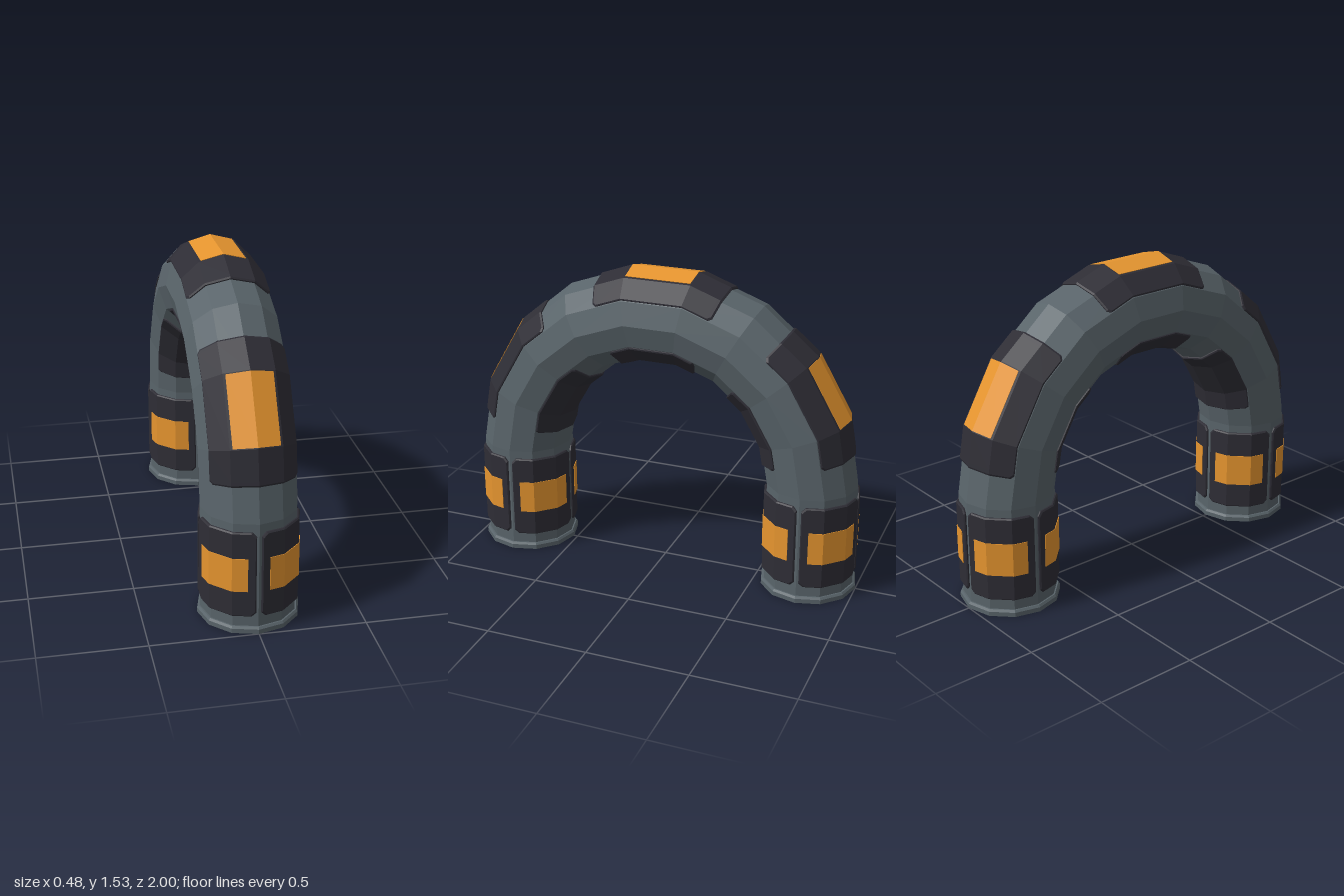
import * as THREE from 'three';

const CY = 0.546, R = 0.76, TUBE = 0.225; // arch centre height, arch radius, tube radius
const RAD = Math.PI / 180;

// Point on the faceted tube. v: degrees along the arch (0 = apex); past +-90 it runs
// down a leg at 0.01 per unit. phi: degrees around the tube (0 = outer side).
function point(v, phi, offset) {
  const d = phi - 30 * Math.floor(phi / 30) - 15;
  const r = (TUBE + offset) * Math.cos(15 * RAD) / Math.cos(d * RAD);
  const x = r * Math.sin(phi * RAD);
  const out = R + r * Math.cos(phi * RAD);
  if (Math.abs(v) >= 90) return [x, CY - (Math.abs(v) - 90) * 0.01, Math.sign(v) * out];
  const e = v - 20 * Math.round(v / 20);
  const s = out * Math.cos(10 * RAD) / Math.cos(e * RAD);
  return [x, CY + s * Math.cos(v * RAD), s * Math.sin(v * RAD)];
}

// Facet boundaries lying strictly between two values
function breaks(lo, hi, start, step, limit) {
  const list = [];
  for (let k = -limit; k <= limit; k++) {
    const b = start + k * step;
    if (b > lo + 0.01 && b < hi - 0.01) list.push(b);
  }
  return list;
}

function flatGeometry(positions) {
  const g = new THREE.BufferGeometry();
  g.setAttribute('position', new THREE.Float32BufferAttribute(positions, 3));
  g.computeVertexNormals();
  return g;
}

// Curved plate hugging the tube, with chamfered corners and a bevelled rim
function plate(v0, v1, p0, p1, { top, rim, vInset = 0, pInset = 0, vCorner = 0, pCorner = 0 }) {
  const layer = (k, offset) => {
    const a = v0 + vInset * k, b = v1 - vInset * k;
    const c = p0 + pInset * k, d = p1 - pInset * k;
    const vs = [a, ...(vCorner ? [a + vCorner] : []), ...breaks(v0 + vCorner, v1 - vCorner, 10, 20, 5)
      .filter((t) => Math.abs(t) <= 90), ...(vCorner ? [b - vCorner] : []), b];
    const mid = breaks(p0, p1, 0, 30, 13);
    return vs.map((v, i) => {
      const cut = i === 0 || i === vs.length - 1 ? pCorner : 0;
      return [c + cut, ...mid, d - cut].map((p) => point(v, p, offset));
    });
  };
  const pos = [];
  const quad = (a, b, c, d) => pos.push(...a, ...b, ...c, ...a, ...c, ...d);
  const face = layer(1, top);
  const n = face.length - 1, m = face[0].length - 1;
  for (let i = 0; i < n; i++)
    for (let j = 0; j < m; j++) quad(face[i][j], face[i + 1][j], face[i + 1][j + 1], face[i][j + 1]);
  if (rim !== undefined) {
    const edge = (g) => {
      const loop = [];
      for (let i = 0; i < n; i++) loop.push(g[i][0]);
      for (let j = 0; j < m; j++) loop.push(g[n][j]);
      for (let i = n; i > 0; i--) loop.push(g[i][m]);
      for (let j = m; j > 0; j--) loop.push(g[0][j]);
      return loop;
    };
    const loops = [edge(face), edge(layer(0, rim)), edge(layer(0, -0.01))];
    for (let k = 0; k < 2; k++)
      loops[k].forEach((a, i) => {
        const t = (i + 1) % loops[k].length;
        quad(loops[k + 1][i], loops[k + 1][t], loops[k][t], a);
      });
  }
  return flatGeometry(pos);
}

export function createModel() {
  const grey = new THREE.MeshStandardMaterial({ color: 0x59646a });
  const dark = new THREE.MeshStandardMaterial({ color: 0x2e2d35 });
  const amber = new THREE.MeshStandardMaterial({ color: 0xe6952f });
  grey.name = 'steel grey';
  dark.name = 'charcoal';
  amber.name = 'amber';

  const model = new THREE.Group();
  model.name = 'arch';
  const add = (name, geometry, material, parent = model) => {
    const mesh = new THREE.Mesh(geometry, material);
    mesh.name = name;
    parent.add(mesh);
    return mesh;
  };

  // Bent tube with two straight legs
  const foot = 90 + CY * 100;
  add('archTube', plate(-foot, foot, 0, 360, { top: 0 }), grey);

  const archPanel = { top: 0.011, rim: 0.006, vInset: 0.5, pInset: 1.5, vCorner: 1, pCorner: 4 };
  const legPanel = { top: 0.013, rim: 0.007, vInset: 0.6, pInset: 1.5, vCorner: 2, pCorner: 5 };
  const light = { rim: 0.008 };

  // Armour panels over the arch: outer ones carry a light, inner ones are plain
  for (const v of [-60, 0, 60]) {
    const group = new THREE.Group();
    group.name = 'archPanels';
    model.add(group);
    add('outerPanel', plate(v - 20, v + 20, -59, 59, archPanel), dark, group);
    add('innerPanel', plate(v - 20, v + 20, 121, 239, archPanel), dark, group);
    add('outerLight', plate(v - 9.7, v + 9.7, -27, 27, { ...light, top: 0.014 }), amber, group);
  }

  // Legs: four panels with lights around each, and a foot flange
  for (const side of [-1, 1]) {
    const leg = new THREE.Group();
    leg.name = side > 0 ? 'frontLeg' : 'backLeg';
    model.add(leg);
    const span = (yTop, yBottom) => [yTop, yBottom]
      .map((y) => side * (90 + (CY - y) * 100)).sort((a, b) => a - b);
    for (let q = 0; q < 4; q++) {
      const p = q * 90;
      add('legPanel', plate(...span(0.507, 0.085), p + 3, p + 87, legPanel), dark, leg);
      add('legLight', plate(...span(0.38, 0.215), p + 12.5, p + 77.5, { ...light, top: 0.016 }), amber, leg);
    }
    const rings = [['footFlange', 0.24, 0.24, 0.022, 0], ['footBevel', 0.232, 0.24, 0.01, 0.022]];
    for (const [name, rTop, rBottom, h, y] of rings) {
      const g = new THREE.CylinderGeometry(rTop, rBottom, h, 12).toNonIndexed();
      g.computeVertexNormals();
      add(name, g, grey, leg).position.set(0, y + h / 2, side * R);
    }
  }
  return model;
}
